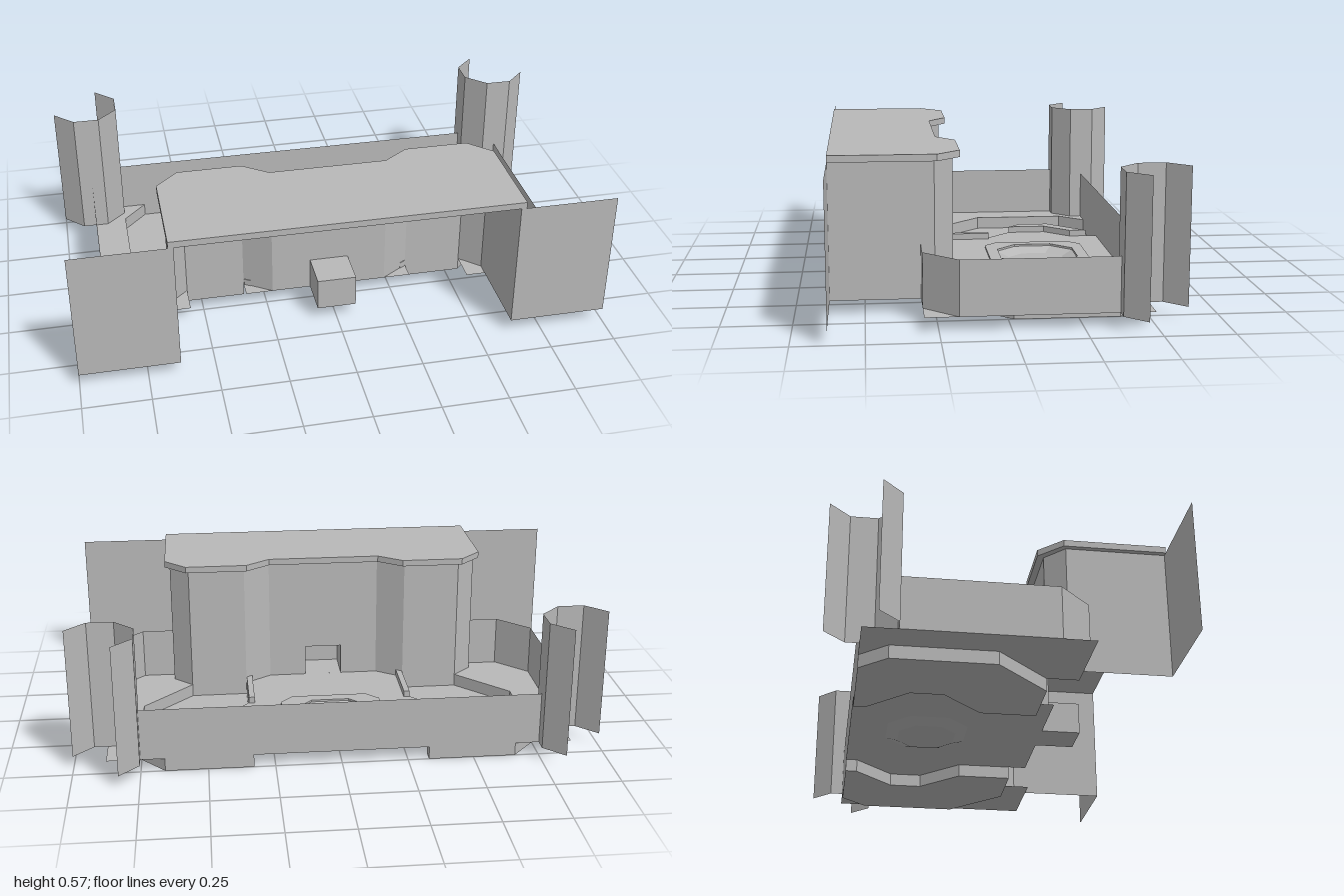
import * as THREE from 'three';

const stone = new THREE.MeshStandardMaterial({ color: 0xb8b8b8, side: THREE.DoubleSide });
stone.name = 'grey stone';

const mirror = (pts) => pts.map(([x, z]) => [-x, z]);
// closes a right-half outline (+x side) with its mirror image
const whole = (half) => [...half, ...mirror(half).reverse()];
const toVec = (pts) => pts.map(([x, z]) => new THREE.Vector2(x, -z));

function add(group, name, geometry) {
  const mesh = new THREE.Mesh(geometry, stone);
  mesh.name = name;
  group.add(mesh);
  return mesh;
}

// horizontal sheet at height y, outlined in x,z
function sheet(pts, y, hole) {
  const shape = new THREE.Shape(toVec(pts));
  if (hole) shape.holes.push(new THREE.Path(toVec(hole)));
  return new THREE.ShapeGeometry(shape).rotateX(-Math.PI / 2).translate(0, y, 0);
}

// solid slab between two heights
function slab(pts, y0, y1, hole) {
  const shape = new THREE.Shape(toVec(pts));
  if (hole) shape.holes.push(new THREE.Path(toVec(hole)));
  return new THREE.ExtrudeGeometry(shape, { depth: y1 - y0, bevelEnabled: false })
    .rotateX(-Math.PI / 2).translate(0, y0, 0);
}

// faceted strip between two matching outlines, each at its own height
function strip(low, y0, high, y1) {
  const pos = [];
  for (let i = 0; i < low.length - 1; i++) {
    const a = [low[i][0], y0, low[i][1]], b = [low[i + 1][0], y0, low[i + 1][1]];
    const c = [high[i + 1][0], y1, high[i + 1][1]], d = [high[i][0], y1, high[i][1]];
    pos.push(...a, ...b, ...c, ...a, ...c, ...d);
  }
  const g = new THREE.BufferGeometry();
  g.setAttribute('position', new THREE.Float32BufferAttribute(pos, 3));
  g.computeVertexNormals();
  return g;
}
const wall = (pts, y0, y1) => strip(pts, y0, pts, y1);

// square with cut corners around x = 0, z = cz
function octagon(r, cut, cz) {
  const s = r - cut;
  return [[s, r], [r, s], [r, -s], [s, -r], [-s, -r], [-r, -s], [-r, s], [-s, r]]
    .map(([x, z]) => [x, z + cz]);
}

export function createModel() {
  const model = new THREE.Group();
  model.name = 'arena';
  const FLOOR = 0.05, LOW = 0.25, HIGH = 0.55;

  // Central floor with a shallow basin
  const pad = octagon(0.2, 0.05, -0.2);
  const rim = octagon(0.155, 0.08, -0.2);
  const base = octagon(0.11, 0.06, -0.2);
  add(model, 'centralFloor', sheet(whole([
    [0.33, 0.25], [0.33, -0.03], [0.475, -0.18], [0.475, -0.305], [0.33, -0.455], [0.33, -0.5],
  ]), FLOOR, rim));
  add(model, 'basinSurround', slab(pad, FLOOR, 0.058, rim));
  add(model, 'basinSides', strip([...base, base[0]], 0.03, [...rim, rim[0]], FLOOR));
  add(model, 'basinBottom', sheet(base, 0.03));

  // Parts repeated on both sides
  const pit = [
    [0.33, -0.5], [0.66, -0.5], [0.75, -0.4], [0.75, -0.02], [0.555, 0.18],
    [0.33, 0.18], [0.33, -0.03], [0.475, -0.18], [0.475, -0.305], [0.33, -0.455],
  ];
  const sideFloor = [
    [0.66, -0.5], [0.75, -0.4], [0.75, -0.02], [0.555, 0.18],
    [0.555, 0.3], [0.875, 0.3], [0.875, -0.5],
  ];
  const curb = [
    [0.33, -0.455], [0.475, -0.305], [0.475, -0.18], [0.425, -0.13], [0.425, -0.285], [0.33, -0.385],
  ];
  const rail = [[0.305, -0.03], [0.328, -0.03], [0.328, 0.185], [0.305, 0.2]];
  const sideWall = [[0.875, -0.375], [0.875, 0.18], [0.755, 0.3], [0.63, 0.3]];
  // five inner faces of an octagonal column, open to the outer corner
  const column = [
    [1, -0.45], [0.925, -0.375], [0.825, -0.375], [0.75, -0.45], [0.75, -0.55], [0.825, -0.625],
  ];
  const alcoveSide = [
    [1, 0.625], [0.63, 0.625], [0.63, 0.25], [0.555, 0.18], [0.33, 0.18], [0.225, 0.25],
  ];
  for (const [side, flip] of [['left', (p) => p], ['right', mirror]]) {
    const g = new THREE.Group();
    g.name = side + 'Side';
    model.add(g);
    add(g, 'sideFloor', sheet(flip(sideFloor), FLOOR));
    add(g, 'pitFloor', sheet(flip(pit), 0));
    add(g, 'pitWalls', wall(flip([...pit, pit[0]]), 0, FLOOR));
    add(g, 'curb', slab(flip(curb), FLOOR, 0.075));
    add(g, 'rail', slab(flip(rail), FLOOR, 0.075));
    add(g, 'lowSideWall', wall(flip(sideWall), FLOOR, LOW));
    add(g, 'cornerColumn', wall(flip(column), FLOOR, HIGH));
    add(g, 'alcoveWall', wall(flip(alcoveSide), FLOOR, HIGH));
  }

  // Low wall along the back
  add(model, 'lowBackWall', wall([[-0.75, -0.5], [0.75, -0.5]], FLOOR, LOW));

  // Middle of the tall wall, with an opening for the niche
  const door = 0.075, top = 0.175;
  add(model, 'alcoveMiddleWall', new THREE.ShapeGeometry(new THREE.Shape([
    [-0.225, FLOOR], [-door, FLOOR], [-door, top], [door, top],
    [door, FLOOR], [0.225, FLOOR], [0.225, HIGH], [-0.225, HIGH],
  ].map(([x, y]) => new THREE.Vector2(x, y)))).translate(0, 0, 0.25));
  const nicheEnds = [[-door, 0.25], [-door, 0.4], [door, 0.4], [door, 0.25]];
  add(model, 'nicheWalls', wall(nicheEnds, FLOOR, top));
  add(model, 'nicheRoof', sheet(nicheEnds, top));
  add(model, 'nicheFloor', sheet(nicheEnds, FLOOR));

  // Roof slab over the alcove
  add(model, 'roof', slab(whole([
    [0.65, 0.625], [0.65, 0.24], [0.565, 0.155], [0.32, 0.155], [0.225, 0.225],
  ]), HIGH, 0.575));

  return model;
}
